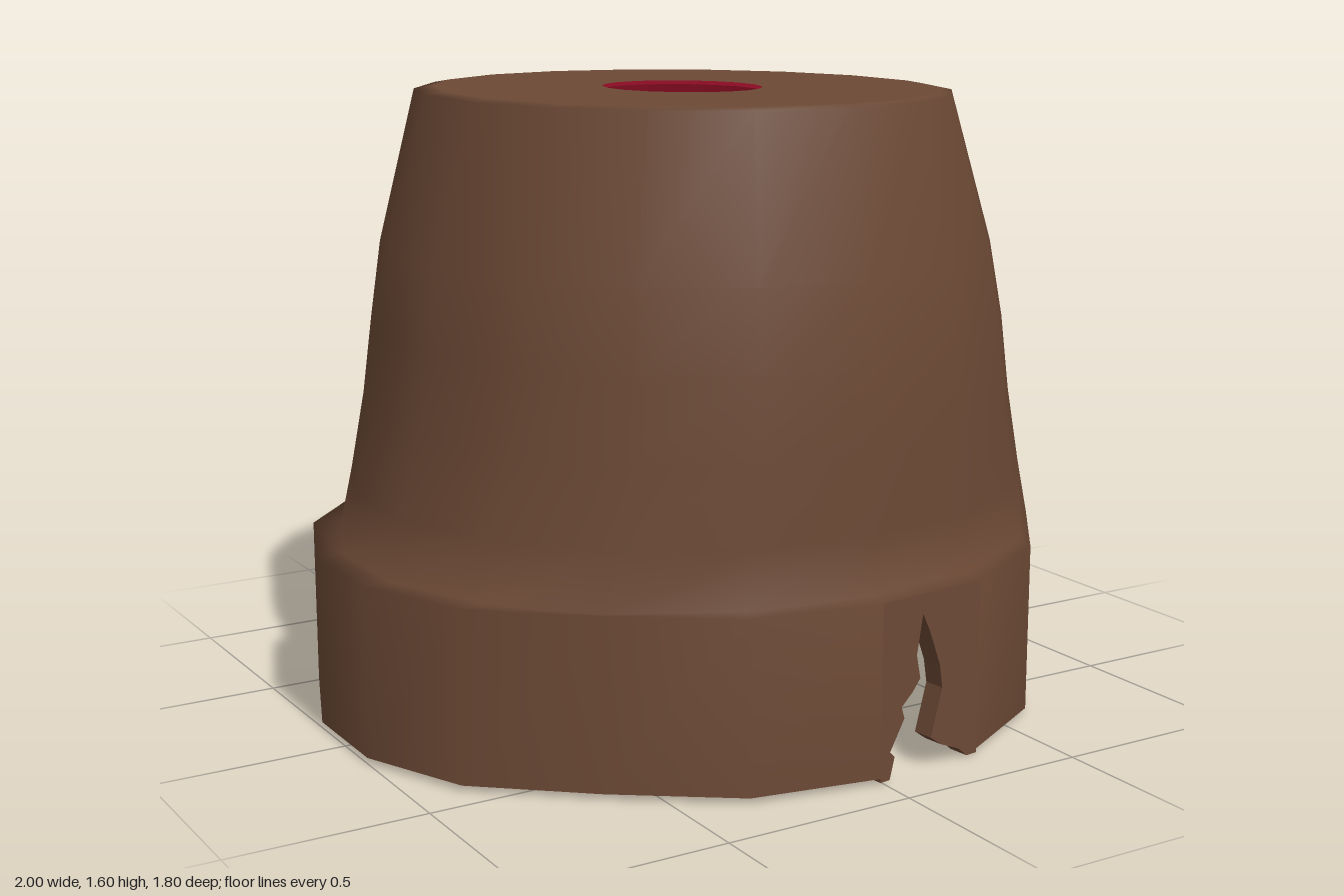
import * as THREE from 'three';

// Uneven hand-made rim outline with 18 corners, counter-clockwise from the front
const OUTLINE = [[-0.01, 0.9], [0.31, 0.86], [0.6, 0.7], [0.8, 0.425], [1, 0.15], [1, -0.16],
  [0.88, -0.44], [0.67, -0.71], [0.31, -0.85], [-0.01, -0.905], [-0.33, -0.89], [-0.62, -0.74],
  [-0.88, -0.47], [-1, -0.15], [-1, 0.14], [-0.88, 0.42], [-0.62, 0.64], [-0.34, 0.84]];
const N = OUTLINE.length;

// Rim outline scaled to half-widths sx, sz at height y
const rimRing = (sx, sz, y) => OUTLINE.map(([x, z]) => [x * sx, y, z / 0.9 * sz]);

// Even oval with half-widths sx, sz at height y
const oval = (sx, sz, y, dx = 0) => OUTLINE.map((_, i) => {
  const a = i / N * Math.PI * 2;
  return [dx + sx * Math.sin(a) / 0.985, y, sz * Math.cos(a) - 0.005];
});
const holeRing = (y) => oval(0.195, 0.23, y, -0.015);

// Joins closed rings; omits the front facet below ring number gapRings
function loft(rings, gapRings = 0) {
  const all = [], kept = [];
  for (let j = 0; j < rings.length - 1; j++) {
    for (let i = 0; i < N; i++) {
      const k = (i + 1) % N;
      const a = j * N + i, b = j * N + k, c = b + N, d = a + N;
      all.push(a, b, c, a, c, d);
      if (i > 0 || j >= gapRings) kept.push(a, b, c, a, c, d);
    }
  }
  const g = new THREE.BufferGeometry();
  g.setAttribute('position', new THREE.Float32BufferAttribute(rings.flat(2), 3));
  g.setIndex(all);
  g.computeVertexNormals();
  g.setIndex(kept);
  return g;
}

export function createModel() {
  const model = new THREE.Group();
  const material = (name, color) => {
    const m = new THREE.MeshStandardMaterial({ color, side: THREE.DoubleSide });
    m.name = name;
    return m;
  };
  const clay = material('brown clay', 0x6c4935);
  const red = material('red lining', 0x8a0c22);
  const white = material('pale lining', 0xc4b0b0);
  const add = (name, geometry, mat, parent = model) => {
    const mesh = new THREE.Mesh(geometry, mat);
    mesh.name = name;
    parent.add(mesh);
    return mesh;
  };

  // Rim outside and tapering body
  add('rimAndBody', loft([
    rimRing(1, 0.9, 0.015), rimRing(1, 0.9, 0.45), oval(0.93, 0.85, 0.452),
    oval(0.89, 0.85, 0.6), oval(0.845, 0.847, 0.8), oval(0.815, 0.84, 1),
    oval(0.78, 0.815, 1.2, -0.005), oval(0.665, 0.745, 1.593, -0.015),
    oval(0.62, 0.715, 1.6, -0.01),
  ], 1), clay);

  // Rim inside and lower lip
  add('rimInside', loft([
    rimRing(0.94, 0.84, 0.4), rimRing(0.94, 0.84, 0.03), rimRing(0.95, 0.85, 0), rimRing(1, 0.9, 0.015),
  ], 3), clay);

  // Top disc with its drain hole
  add('topDisc', loft([oval(0.62, 0.715, 1.6, -0.01), holeRing(1.6)]), clay);

  // Front facet of the rim with a jagged crack
  const crack = [[0, 0.45], [0, 0.005], [0.03, 0.005], [0.045, 0.06], [0.03, 0.075], [0.075, 0.15],
    [0.065, 0.18], [0.1, 0.21], [0.125, 0.24], [0.112, 0.3], [0.13, 0.4], [0.155, 0.35],
    [0.19, 0.26], [0.2, 0.2], [0.165, 0.08], [0.2, 0.055], [0.26, 0.03], [0.29, 0.005],
    [0.3225, 0.005], [0.3225, 0.45]];
  const shape = new THREE.Shape(crack.map(([x, y]) => new THREE.Vector2(x, y)));
  const panelGeometry = new THREE.ExtrudeGeometry(shape, { depth: 0.055, bevelEnabled: false });
  panelGeometry.translate(0, 0, -0.055);
  const panel = add('crackedRimPanel', panelGeometry, clay);
  panel.position.set(-0.01, 0, 0.9);
  panel.rotation.y = Math.atan2(0.04, 0.32);

  // Striped lining: each entry is where a pale stripe starts and ends, in degrees
  const lining = new THREE.Group();
  lining.name = 'lining';
  lining.scale.z = 0.93;
  model.add(lining);
  const wall = [[0.87, 0.4], [0.75, 1], [0.61, 1.59]].map(([r, y]) => new THREE.Vector2(r, y));
  const stripe = (name, from, to, mat) => add(name, new THREE.LatheGeometry(wall, 5,
    THREE.MathUtils.degToRad(from), THREE.MathUtils.degToRad(to - from)), mat, lining);
  const pale = [[-14, 12], [38, 65], [104, 130], [176, 202], [235, 258], [282, 306]];
  pale.forEach(([from, to], i) => {
    const next = i < pale.length - 1 ? pale[i + 1][0] : pale[0][0] + 360;
    stripe('paleStripe', from, to, white);
    stripe('redStripe', to, next, red);
  });

  // Red ledge under the lining and red ceiling
  add('liningLedge', new THREE.LatheGeometry(
    [new THREE.Vector2(0.92, 0.4), new THREE.Vector2(0.865, 0.4)], 36), red, lining);
  add('liningCeiling', loft([holeRing(1.59), oval(0.61, 0.58, 1.59)]), red);

  return model;
}
